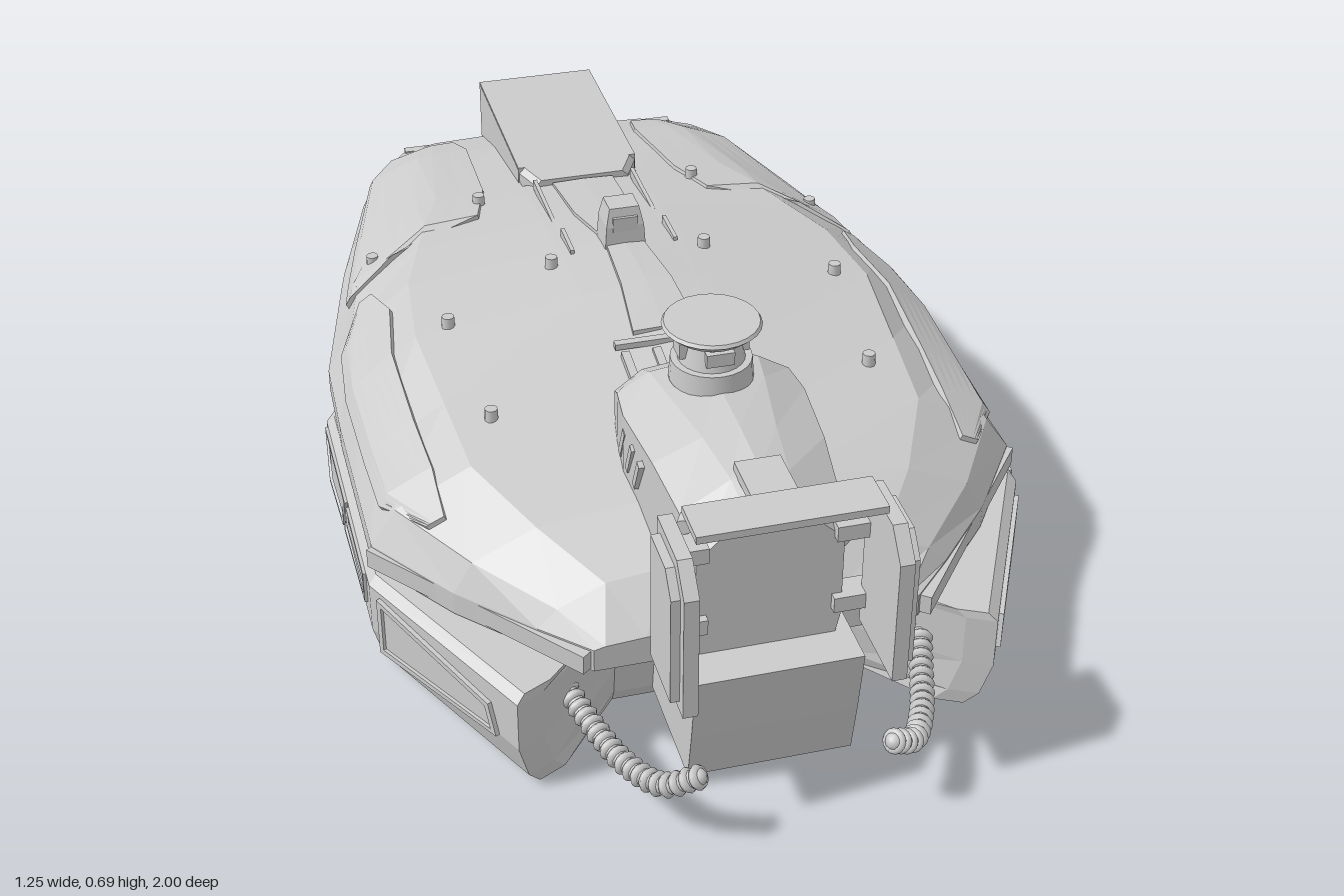
import * as THREE from 'three';

const flat = new THREE.MeshStandardMaterial({ color: 0xcccccc, flatShading: true });
const smooth = new THREE.MeshStandardMaterial({ color: 0xcccccc });
const lerp = THREE.MathUtils.lerp;

// Skin between rings; each ring runs counter-clockwise seen from the last station
function loft(rings, axis = 'z') {
  const n = rings[0].length, pos = rings.flat(2), idx = [];
  for (let i = 0; i < rings.length - 1; i++) for (let j = 0; j < n; j++) {
    const a = i * n + j, b = i * n + (j + 1) % n;
    idx.push(a, b, b + n, a, b + n, a + n);
  }
  const cap = (k, flip) => {
    const pts = rings[k].map(p => axis === 'z' ? new THREE.Vector2(p[0], p[1]) : new THREE.Vector2(p[2], p[0]));
    for (const [a, b, c] of THREE.ShapeUtils.triangulateShape(pts, []))
      idx.push(k * n + a, k * n + (flip ? c : b), k * n + (flip ? b : c));
  };
  cap(0, true);
  cap(rings.length - 1, false);
  const g = new THREE.BufferGeometry();
  g.setAttribute('position', new THREE.Float32BufferAttribute(pos, 3));
  g.setIndex(idx);
  const out = g.toNonIndexed();
  out.computeVertexNormals();
  return out;
}

// Full ring from a right half listed bottom to top, ending on the centre line
const mirrorRing = (half, z) => [
  ...half.map(([x, y]) => [x, y, z]),
  ...half.slice(0, -1).reverse().map(([x, y]) => [-x, y, z])];

// Upper hull stations: z, rim half width, shoulder x y, upper x y, crown y
const stations = [
  [-0.98, 0.33, 0.315, 0.31, 0.24, 0.325, 0.33],
  [-0.84, 0.43, 0.40, 0.32, 0.29, 0.365, 0.375],
  [-0.56, 0.515, 0.465, 0.34, 0.33, 0.41, 0.43],
  [-0.5, 0.53, 0.48, 0.345, 0.34, 0.42, 0.44],
  [-0.2, 0.60, 0.55, 0.35, 0.43, 0.44, 0.485],
  [0, 0.607, 0.57, 0.345, 0.45, 0.445, 0.50],
  [0.38, 0.607, 0.56, 0.335, 0.42, 0.405, 0.44],
  [0.55, 0.49, 0.455, 0.325, 0.34, 0.38, 0.41],
  [0.68, 0.37, 0.335, 0.30, 0.25, 0.34, 0.36],
  [0.76, 0.29, 0.27, 0.27, 0.2, 0.275, 0.28]];

function profile(z) {
  let i = 0;
  while (i < stations.length - 2 && z > stations[i + 1][0]) i++;
  const A = stations[i], B = stations[i + 1], t = (z - A[0]) / (B[0] - A[0]);
  const [, w, sx, sy, ux, uy, ty] = A.map((v, k) => lerp(v, B[k], t));
  return [[0, ty], [0.125, lerp(ty, uy, 0.25)], [ux, uy], [sx, sy], [w, 0.265], [w, 0.22]];
}
function onProfile(z, u) {
  const p = profile(z), i = Math.min(Math.floor(u), 4), t = u - i;
  return [lerp(p[i][0], p[i + 1][0], t), lerp(p[i][1], p[i + 1][1], t)];
}
function heightAt(x, z) {
  const p = profile(z);
  let i = 0;
  while (i < 3 && Math.abs(x) > p[i + 1][0]) i++;
  return lerp(p[i][1], p[i + 1][1], (Math.abs(x) - p[i][0]) / (p[i + 1][0] - p[i][0]));
}

// Raised armour pad following the hull; rows of z and profile range
function padGeometry(rows) {
  return loft(rows.map(([z, u0, u1]) => {
    const n = 8, top = [], low = [];
    for (let i = 0; i <= n; i++) {
      const [x, y] = onProfile(z, lerp(u1, u0, i / n));
      top.push([x * 1.012, y + 0.008, z]);
      low.unshift([x * 0.98, y - 0.02, z]);
    }
    return [...top, ...low];
  }));
}

export function createModel() {
  const root = new THREE.Group();
  const add = (name, geo, parent = root, mat = flat) => {
    const m = new THREE.Mesh(geo, mat);
    m.name = name;
    parent.add(m);
    return m;
  };
  const box = (name, w, h, d, x, y, z, parent = root) => {
    const m = add(name, new THREE.BoxGeometry(w, h, d), parent);
    m.position.set(x, y, z);
    return m;
  };
  const cyl = (name, rTop, rBot, h, x, y, z, parent = root, seg = 24) => {
    const m = add(name, new THREE.CylinderGeometry(rTop, rBot, h, seg), parent, smooth);
    m.position.set(x, y, z);
    return m;
  };
  const plate = (pts, depth, hole) => {
    const shape = new THREE.Shape(pts.map(p => new THREE.Vector2(...p)));
    if (hole) shape.holes.push(new THREE.Path(hole.map(p => new THREE.Vector2(...p))));
    return new THREE.ExtrudeGeometry(shape, { depth, bevelEnabled: false });
  };

  // Upper hull, with a channel for the rear duct
  const hullZ = [-0.98, -0.84, -0.56, -0.555, -0.5, -0.35, -0.2, 0, 0.2, 0.38, 0.55, 0.68, 0.76];
  add('upperHull', loft(hullZ.map(z => {
    const p = profile(z), duct = z <= -0.56;
    return mirrorRing([p[5], p[4], p[3], p[2], p[1],
      duct ? [0.12, 0.235] : [0.1, lerp(p[0][1], p[1][1], 0.8)], [0, duct ? 0.235 : p[0][1]]], z);
  })));

  // Lower hull: plan outline with a front notch, stacked by height
  const plan = [[0.22, 0.62], [0.38, 0.765], [0.43, 0.79], [0.62, 0.41], [0.62, -0.12], [0.575, -0.195]];
  add('lowerHull', loft([[0, 0.04, 0.025], [0.03, 0.018, 0.01], [0.1, 0, 0], [0.2, 0, 0], [0.215, 0.015, 0.01]]
    .map(([y, dx, dz]) => {
      const half = plan.map(([x, z], i) => [x - (i ? dx : 0), y, z - dz * Math.sign(z)]);
      return [...half, ...half.slice().reverse().map(([x, , z]) => [-x, y, z])];
    }), 'y'));

  // Front cab: z, half width, base y, shoulder y, roof y, roof half width
  add('cab', loft([
    [0.315, 0.135, 0.40, 0.46, 0.50, 0.10], [0.35, 0.15, 0.36, 0.50, 0.55, 0.10],
    [0.40, 0.158, 0.30, 0.53, 0.577, 0.10], [0.47, 0.165, 0.24, 0.53, 0.58, 0.09],
    [0.62, 0.152, 0.24, 0.53, 0.58, 0.065], [0.74, 0.138, 0.24, 0.51, 0.575, 0.05],
    [0.81, 0.128, 0.24, 0.46, 0.55, 0.045]]
    .map(([z, w, b, s, t, r]) => mirrorRing([[w * 0.9, b], [w, b + 0.06], [w, s], [r, t - 0.012], [0, t]], z))));

  // Nose block under the cab
  add('noseBlock', loft([[0.025, 0.845], [0.13, 0.865], [0.262, 0.885]].map(([y, z]) =>
    [[-0.148, y, z], [0.148, y, z], [0.148, y, 0.55], [-0.148, y, 0.55]]), 'y'));

  // Roof bar
  box('roofBar', 0.32, 0.014, 0.085, 0, 0.59, 0.875);
  box('roofBarMount', 0.08, 0.02, 0.14, 0, 0.573, 0.79);

  // Rotating sight on the cab roof
  const sight = new THREE.Group();
  sight.name = 'roofSight';
  sight.position.set(0, 0, 0.445);
  root.add(sight);
  cyl('sightBase', 0.072, 0.075, 0.04, 0, 0.592, 0, sight);
  cyl('sightNeck', 0.048, 0.06, 0.055, 0, 0.638, 0, sight);
  cyl('sightCap', 0.088, 0.07, 0.016, 0, 0.671, 0, sight);
  cyl('sightLid', 0.084, 0.088, 0.006, 0, 0.682, 0, sight);
  box('sightWindow', 0.05, 0.025, 0.02, 0, 0.638, 0.05, sight);
  for (const s of [-1, 1]) box('sightEar', 0.016, 0.03, 0.04, s * 0.055, 0.64, 0, sight);

  // Rear duct, open at the back
  box('ductRoof', 0.255, 0.014, 0.42, 0, 0.449, -0.79);
  box('ductFloor', 0.24, 0.014, 0.42, 0, 0.228, -0.79);
  box('ductBackWall', 0.24, 0.21, 0.015, 0, 0.34, -0.585);
  for (const s of [-1, 1]) {
    box('ductWall', 0.014, 0.23, 0.42, s * 0.121, 0.337, -0.79);
    box('ductRail', 0.015, 0.02, 0.38, s * 0.05, 0.24, -0.79);
  }
  add('ductFairing', loft([[-0.6, 0.128, 0.456], [-0.575, 0.125, 0.456], [-0.535, 0.10, 0.445]].map(([z, w, y]) =>
    mirrorRing([[w, 0.3], [w, y - 0.012], [w - 0.012, y], [0, y]], z))));

  // Spine strip, periscope and vent slats
  const spineZ = [-0.53, -0.35, -0.2, 0, 0.14];
  add('spineStrip', loft(spineZ.map((z, i) => {
    const w = [0.065, 0.06, 0.035, 0.05, 0.062][i], y = heightAt(0, z);
    return mirrorRing([[w, y - 0.03], [w, y + 0.004], [0, y + 0.006]], z);
  })));
  add('periscope', loft([[0.47, 0.042, 0.036], [0.53, 0.038, 0.034], [0.568, 0.03, 0.026]].map(([y, w, d]) =>
    [[-w, y, -0.195 + d], [w, y, -0.195 + d], [w, y, -0.195 - d], [-w, y, -0.195 - d]]), 'y'));
  box('periscopeLens', 0.05, 0.03, 0.012, 0, 0.535, -0.165);
  box('ventFrame', 0.21, 0.012, 0.016, 0, heightAt(0, 0.17) + 0.002, 0.17);
  for (let i = 0; i < 4; i++) {
    const v = box('ventSlat', 0.016, 0.014, 0.11, -0.09 + i * 0.06, 0.459, 0.245);
    v.rotation.x = 0.157;
  }

  // Everything that comes in pairs
  const sides = [1, -1].map(s => {
    const g = new THREE.Group();
    g.name = s > 0 ? 'leftSide' : 'rightSide';
    g.scale.x = s;
    root.add(g);
    return g;
  });
  const hose = new THREE.CatmullRomCurve3([[0.33, 0.14, 0.68], [0.3, 0.115, 0.77], [0.265, 0.105, 0.87],
    [0.22, 0.118, 0.95], [0.17, 0.155, 0.985]].map(p => new THREE.Vector3(...p)));
  const shield = [[-0.965, 0.27], [-0.8, 0.27], [-0.8, 0.56], [-0.92, 0.56], [-0.965, 0.51]];
  const inner = [[-0.945, 0.29], [-0.82, 0.29], [-0.82, 0.54], [-0.91, 0.54], [-0.945, 0.5]];

  for (const g of sides) {
    add('sidePad', padGeometry([[-0.27, 2.65, 2.85], [-0.15, 2.3, 3.35], [0, 2.35, 3.4],
      [0.2, 2.4, 3.4], [0.34, 2.4, 3.35], [0.45, 2.7, 2.95]]), g);
    add('rearPad', padGeometry([[-0.93, 1.6, 3], [-0.84, 1.4, 3.25], [-0.56, 1.4, 3.35], [-0.43, 1.5, 3.35],
      [-0.38, 2.4, 3.35], [-0.33, 3.1, 3.3]]), g);

    // Front rim lip
    const lip = box('rimLip', 0.49, 0.037, 0.03, 0.452, 0.243, 0.568, g);
    lip.rotation.y = Math.atan2(0.38, 0.305);

    // Bolts and hatch brackets
    for (const [x, z] of [[0.23, -0.5], [0.47, -0.42], [0.155, -0.14], [0.385, -0.01], [0.36, 0.27]])
      cyl('bolt', 0.012, 0.013, 0.03, x, heightAt(x, z) + 0.007, z, g, 10);
    for (const [z, l] of [[-0.43, 0.18], [-0.215, 0.09]])
      box('bracket', 0.008, 0.02, l, 0.105, heightAt(0.105, z) + 0.002, z, g);

    // Lower hull windows: framed openings along the side and on the front taper
    const sideWindows = [
      [[[-0.375, 0.2], [-0.17, 0.2], [-0.11, 0.105], [-0.375, 0.135]], [[-0.362, 0.19], [-0.182, 0.19], [-0.128, 0.12], [-0.362, 0.146]]],
      [[[-0.155, 0.2], [0.1, 0.2], [0.1, 0.07], [-0.09, 0.1]], [[-0.135, 0.19], [0.088, 0.19], [0.088, 0.083], [-0.08, 0.111]]]];
    for (const [outer, hole] of sideWindows) {
      const f = add('windowFrame', plate(outer, 0.012, hole), g);
      f.rotation.y = Math.PI / 2;
      f.position.x = 0.614;
      const w = add('windowPane', plate(hole, 0.006), g);
      w.rotation.y = Math.PI / 2;
      w.position.x = 0.616;
    }
    const fo = [[-0.16, 0.1], [-0.14, 0.16], [0.18, 0.19], [0.18, 0.07]].reverse();
    const fi = [[-0.145, 0.107], [-0.13, 0.15], [0.168, 0.178], [0.168, 0.082]].reverse();
    const front = new THREE.Group();
    front.name = 'frontWindow';
    front.position.set(0.52, 0, 0.597);
    front.rotation.y = Math.atan2(0.38, 0.19);
    g.add(front);
    add('windowFrame', plate(fo, 0.014, fi), front);
    add('windowPane', plate(fi, 0.008), front);

    // Side shields beside the nose
    const sh = add('noseShield', plate(shield, 0.026), g);
    sh.rotation.y = Math.PI / 2;
    sh.position.x = 0.166;
    const face = add('shieldFace', plate(inner, 0.016), g);
    face.rotation.y = Math.PI / 2;
    face.position.x = 0.192;
    for (const y of [0.33, 0.48]) box('shieldArm', 0.07, 0.03, 0.05, 0.145, y, 0.8, g);

    // Cab bolts and slanted slots
    for (const y of [0.43, 0.47, 0.51]) {
      const b = cyl('cabBolt', 0.014, 0.014, 0.03, 0.134, y, 0.765, g, 12);
      b.rotation.set(Math.PI / 2, 0, -0.5);
    }
    for (let i = 0; i < 3; i++) {
      const s = box('cabSlot', 0.012, 0.075, 0.014, 0.16, 0.465, 0.46 + i * 0.05, g);
      s.rotation.x = 0.45;
    }

    // Ribbed hose
    add('hose', new THREE.TubeGeometry(hose, 32, 0.016, 10), g, smooth);
    for (let i = 0; i <= 18; i++) {
      const r = add('hoseRib', new THREE.TorusGeometry(0.014, 0.0085, 6, 14), g, smooth);
      r.position.copy(hose.getPointAt(i / 18));
      r.quaternion.setFromUnitVectors(new THREE.Vector3(0, 0, 1), hose.getTangentAt(i / 18));
    }
    const end = add('hoseEnd', new THREE.SphereGeometry(0.016, 10, 8), g, smooth);
    end.position.copy(hose.getPointAt(1));

    // Rear lamp cluster with grille
    box('rearLamp', 0.15, 0.075, 0.02, 0.235, 0.28, -0.98, g);
    for (let i = 0; i < 3; i++) box('lampBar', 0.13, 0.009, 0.012, 0.235, 0.26 + i * 0.02, -0.99, g);
  }
  return root;
}
